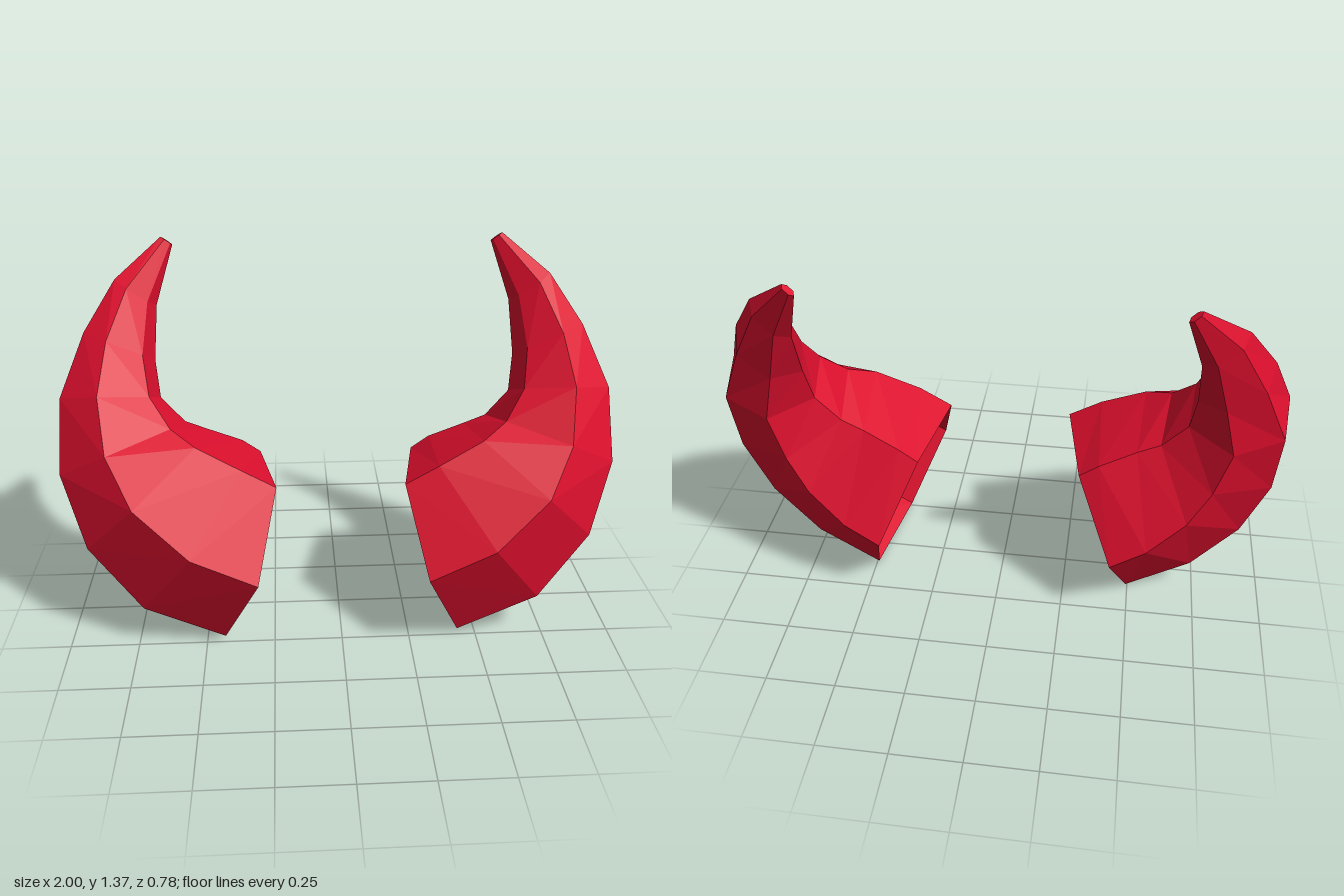
import * as THREE from 'three';

// Cross-sections from base to tip: centre, then two neighbouring hexagon corner offsets a and b.
// The remaining corners of each hexagon follow as b-a, -a, -b, a-b.
const SECTIONS = [
  [[0.362, 0.303, 0.031], [-0.132, 0.298, 0.139], [-0.062, 0.02, 0.35]],
  [[0.54, 0.40, 0.04], [-0.19, 0.27, 0.13], [-0.01, 0.04, 0.35]],
  [[0.70, 0.54, 0.02], [-0.19, 0.21, 0.12], [0.02, 0.06, 0.30]],
  [[0.785, 0.68, -0.03], [-0.185, 0.115, 0.105], [0.03, 0.07, 0.23]],
  [[0.825, 0.85, -0.095], [-0.15, 0.04, 0.095], [0.02, 0.07, 0.165]],
  [[0.79, 1.02, -0.175], [-0.09, -0.01, 0.075], [0.03, 0.055, 0.105]],
  [[0.73, 1.195, -0.27], [-0.045, -0.025, 0.04], [0.025, 0.03, 0.06]],
  [[0.617, 1.36, -0.375], [-0.014, -0.008, 0.01], [0.006, 0.008, 0.016]],
];
const WEIGHTS = [[1, 0], [0, 1], [-1, 1], [-1, 0], [0, -1], [1, -1]];

// Open-based hexagonal horn; side is 1 for the left one, -1 for its mirror image
function hornGeometry(side) {
  const positions = [];
  const index = [];
  const tri = (p, q, r) => (side > 0 ? index.push(p, q, r) : index.push(p, r, q));

  for (const [c, a, b] of SECTIONS) {
    for (const [u, v] of WEIGHTS) {
      const [x, y, z] = c.map((value, k) => value + u * a[k] + v * b[k]);
      positions.push(side * x, y, z);
    }
  }

  // Walls between neighbouring cross-sections
  for (let i = 0; i < SECTIONS.length - 1; i++) {
    for (let j = 0; j < 6; j++) {
      const p = i * 6 + j;
      const q = i * 6 + ((j + 1) % 6);
      tri(p, q, q + 6);
      tri(p, q + 6, p + 6);
    }
  }

  // Small blunt cap at the tip
  const last = (SECTIONS.length - 1) * 6;
  for (let j = 1; j < 5; j++) tri(last, last + j, last + j + 1);

  const geometry = new THREE.BufferGeometry();
  geometry.setAttribute('position', new THREE.Float32BufferAttribute(positions, 3));
  geometry.setIndex(index);
  const flat = geometry.toNonIndexed();
  flat.computeVertexNormals();
  return flat;
}

export function createModel() {
  const group = new THREE.Group();
  group.name = 'horns';
  const material = new THREE.MeshStandardMaterial({
    color: 0xdc0f2d,
    flatShading: true,
    side: THREE.DoubleSide,
  });
  for (const [name, side] of [['leftHorn', 1], ['rightHorn', -1]]) {
    const horn = new THREE.Mesh(hornGeometry(side), material);
    horn.name = name;
    group.add(horn);
  }
  return group;
}
